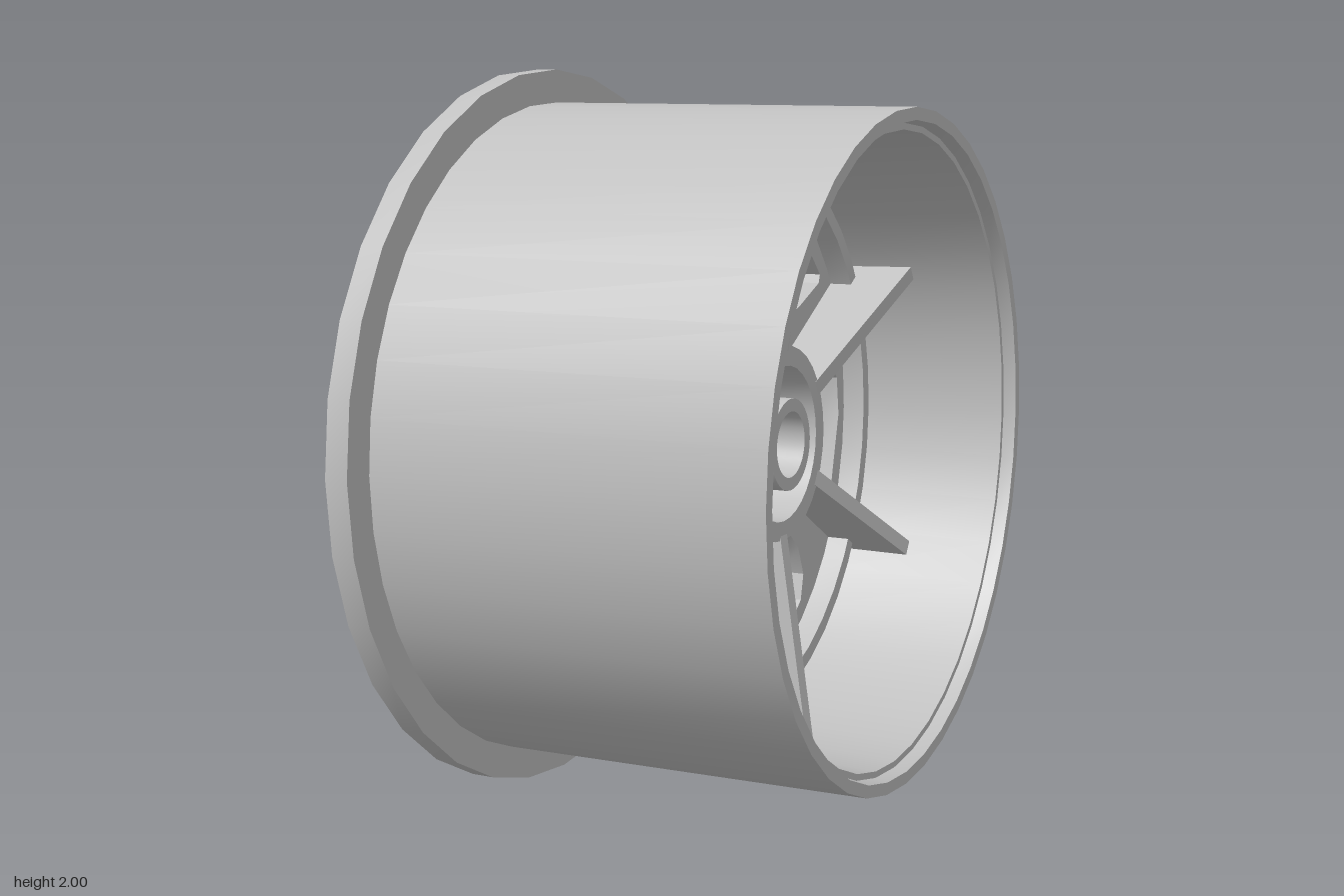
import * as THREE from 'three';
import { toCreasedNormals } from 'three/addons/utils/BufferGeometryUtils.js';

const grey = new THREE.MeshStandardMaterial({ color: 0xc0c0c0 });
grey.name = 'light grey';

// Closed [radius, axial] profile, counterclockwise, revolved about local z
function revolve(name, profile, segments = 32) {
  const pts = [...profile, profile[0]].map(([r, a]) => new THREE.Vector2(r, a));
  const geo = new THREE.LatheGeometry(pts, segments).rotateX(Math.PI / 2);
  const mesh = new THREE.Mesh(toCreasedNormals(geo, 0.5), grey);
  mesh.name = name;
  return mesh;
}

const toPoints = (list) => list.map(([x, y]) => new THREE.Vector2(x, y));

export function createModel() {
  const model = new THREE.Group();
  model.name = 'flangedWheel';

  // The wheel is built around local z, then turned so its axle lies along x
  const wheel = new THREE.Group();
  wheel.name = 'wheel';
  wheel.rotation.y = Math.PI / 2;
  wheel.position.y = 1;
  model.add(wheel);

  // Flange and slightly tapered barrel with a stepped lip
  wheel.add(revolve('flange', [[0.815, -0.53], [1, -0.53], [1, -0.465], [0.815, -0.465]]));
  wheel.add(revolve('barrel', [
    [0.815, -0.47], [0.91, -0.47], [0.895, 0.6], [0.862, 0.6],
    [0.855, 0.565], [0.838, 0.565], [0.825, 0.1], [0.815, 0],
  ], 40));

  // Web disc with six teardrop openings
  const web = new THREE.Shape();
  web.absarc(0, 0, 0.84, 0, Math.PI * 2);
  const opening = toPoints([
    [-0.09, 0.675], [-0.073, 0.655], [-0.09, 0.52], [-0.115, 0.385], [-0.15, 0.3],
    [-0.22, 0.275], [-0.3, 0.29], [-0.4, 0.375], [-0.437, 0.46], [-0.42, 0.535], [-0.33, 0.605],
  ]);
  const centre = new THREE.Vector2();
  for (let i = 0; i < 6; i++) {
    const pts = opening.map((p) => p.clone().rotateAround(centre, (i * Math.PI) / 3));
    web.holes.push(new THREE.Path(pts));
  }
  const webGeo = new THREE.ExtrudeGeometry(web, { depth: 0.07, bevelEnabled: false, curveSegments: 20 });
  const webMesh = new THREE.Mesh(toCreasedNormals(webGeo.translate(0, 0, 0.03), 0.6), grey);
  webMesh.name = 'web';
  wheel.add(webMesh);

  // Raised rings on the web
  wheel.add(revolve('outerRib', [[0.73, 0.08], [0.77, 0.08], [0.77, 0.165], [0.73, 0.165]], 40));
  wheel.add(revolve('hubRing', [[0.212, 0.08], [0.265, 0.08], [0.265, 0.235], [0.212, 0.235]]));

  // Axle tube, bored from both ends with a solid middle
  wheel.add(revolve('axleTube', [
    [0.09, -0.605], [0.15, -0.605], [0.15, 0.06], [0.125, 0.06], [0.125, 0.255], [0.09, 0.255],
  ]));
  wheel.add(revolve('axlePlug', [[0, 0.03], [0.095, 0.03], [0.095, 0.1], [0, 0.1]]));

  // Six radial fins, profile given as [axial, radius]
  const fin = new THREE.Shape(toPoints([
    [-0.56, 0.125], [0.07, 0.125], [0.07, 0.25], [0.235, 0.25],
    [0.32, 0.835], [-0.335, 0.825], [-0.335, 0.36],
  ]));
  const finGeo = new THREE.ExtrudeGeometry(fin, { depth: 0.044, bevelEnabled: false });
  finGeo.translate(0, 0, -0.022).rotateY(-Math.PI / 2);
  for (let i = 0; i < 6; i++) {
    const mesh = new THREE.Mesh(finGeo, grey);
    mesh.name = 'fin' + (i + 1);
    mesh.rotation.z = (i * Math.PI) / 3;
    wheel.add(mesh);
  }
  return model;
}
